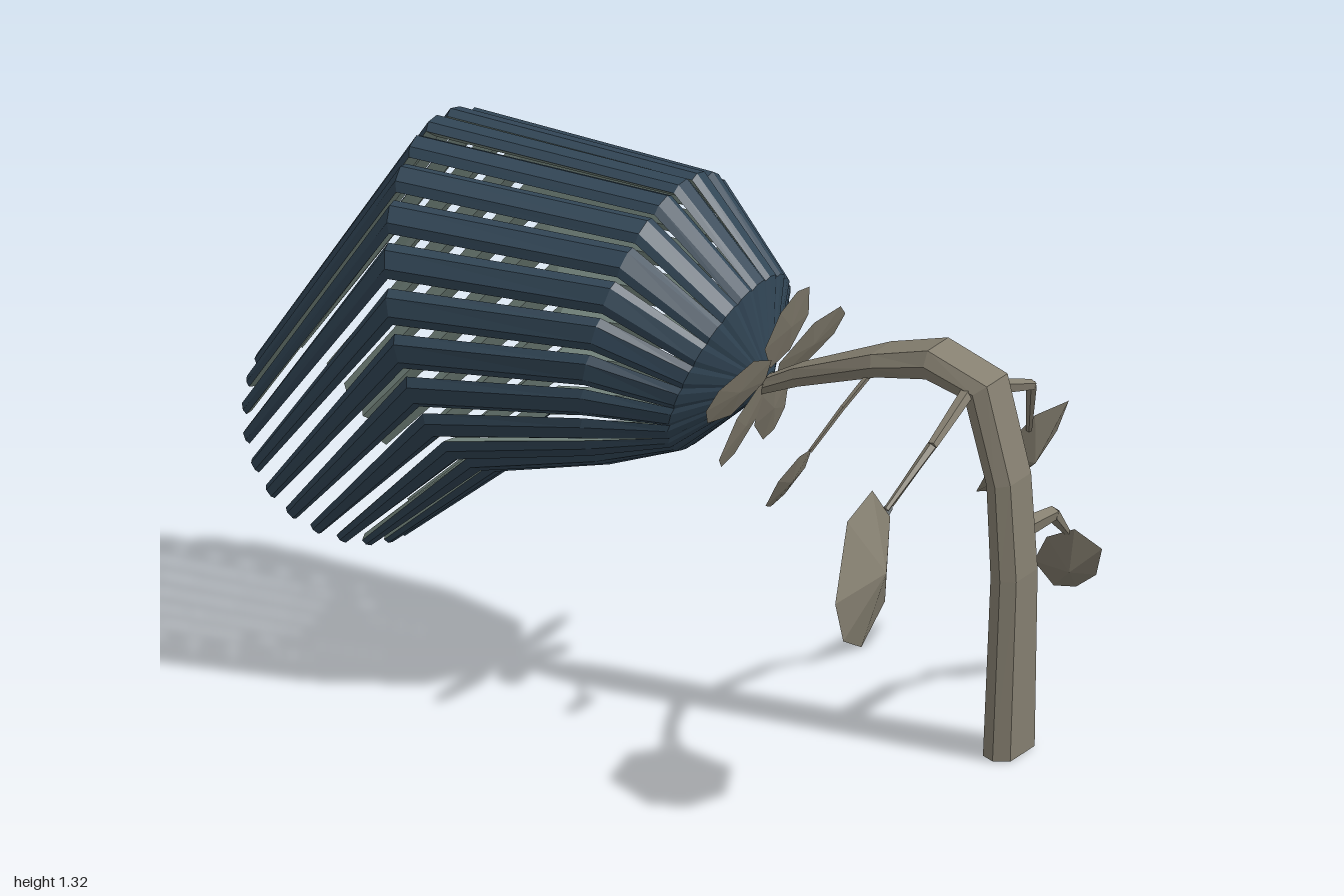
import * as THREE from 'three';

const V = (x, y, z) => new THREE.Vector3(x, y, z);
const MID = -0.03; // z of the stem and flower axis
const mat = color => new THREE.MeshStandardMaterial({ color, flatShading: true });

const bark = mat(0x857f70);
const petalOuter = mat(0x314555);
const petalInner = mat(0x75867e);
const leafRim = mat(0x9ba3a6);
const leafHeart = mat(0xc0c19a);

// Flat-shaded geometry from a list of triangle corners
function fromTriangles(points) {
  const g = new THREE.BufferGeometry().setFromPoints(points);
  g.computeVertexNormals();
  return g;
}

function named(name, geometry, material) {
  const m = new THREE.Mesh(geometry, material);
  m.name = name;
  return m;
}

// Curved stem: flattened hexagonal section swept along a path in the x-y plane
// rows: x, y, half thickness, half width
function makeStem() {
  const path = [
    [0.30, 0.80, 0.016, 0.035], [0.40, 0.845, 0.022, 0.04], [0.62, 0.92, 0.028, 0.068],
    [0.76, 0.947, 0.036, 0.068], [0.89, 0.90, 0.036, 0.068], [0.95, 0.68, 0.032, 0.068],
    [0.964, 0.45, 0.034, 0.07], [0.95, 0.006, 0.036, 0.08]
  ];
  const section = [[1, 0.75], [1, -0.75], [0, -1], [-1, -0.75], [-1, 0.75], [0, 1]];
  const rings = path.map(([x, y, h, w], i) => {
    const a = path[Math.max(i - 1, 0)], b = path[Math.min(i + 1, path.length - 1)];
    const t = V(b[0] - a[0], b[1] - a[1], 0).normalize();
    return section.map(([n, z]) => V(x - t.y * n * h, y + t.x * n * h, MID + z * w));
  });
  const tris = [];
  for (let i = 0; i < rings.length - 1; i++) {
    for (let k = 0; k < 6; k++) {
      const l = (k + 1) % 6, a = rings[i], b = rings[i + 1];
      tris.push(a[k], b[k], a[l], b[k], b[l], a[l]);
    }
  }
  // caps at the flower and at the foot
  const start = rings[0], end = rings[rings.length - 1];
  for (let k = 1; k < 5; k++) {
    tris.push(start[0], start[k], start[k + 1], end[0], end[k + 1], end[k]);
  }
  return named('stem', fromTriangles(tris), bark);
}

// Tapered twig through a few points
function makeTwig(name, points, r0, r1) {
  const group = new THREE.Group();
  group.name = name;
  const n = points.length - 1;
  for (let i = 0; i < n; i++) {
    const d = points[i + 1].clone().sub(points[i]);
    const ra = r0 + (r1 - r0) * i / n, rb = r0 + (r1 - r0) * (i + 1) / n;
    const seg = named('twigSegment', new THREE.CylinderGeometry(rb, ra, d.length(), 5), bark);
    seg.position.copy(points[i]).addScaledVector(d, 0.5);
    seg.quaternion.setFromUnitVectors(V(0, 1, 0), d.normalize());
    group.add(seg);
  }
  return group;
}

// Angular leaf: domed brown back, pale face with an inner heart
const OUTLINE = [[0, -0.22], [0.38, -1], [0.82, -0.8], [1, -0.2], [0.95, 0.45], [0.5, 1], [0.1, 0.6]];
function makeLeaf(name, base, tip, facing, halfWidth, bulge, plain = false) {
  const axis = tip.clone().sub(base);
  const side = facing.clone().cross(axis).normalize();
  const normal = axis.clone().cross(side).normalize();
  const rim = OUTLINE.map(([s, t]) =>
    base.clone().addScaledVector(axis, s).addScaledVector(side, t * halfWidth));
  const center = base.clone().addScaledVector(axis, 0.52);
  const sunk = center.clone().addScaledVector(normal, -bulge * 0.3);
  const dome = center.clone().addScaledVector(normal, -bulge);
  const lift = p => p.clone().lerp(sunk, 0.36).addScaledVector(normal, 0.004);
  const face = [], back = [], heart = [];
  rim.forEach((p, i) => {
    const q = rim[(i + 1) % rim.length];
    face.push(sunk, p, q);
    back.push(dome, q, p);
    heart.push(sunk.clone().addScaledVector(normal, 0.004), lift(p), lift(q));
  });
  const group = new THREE.Group();
  group.name = name;
  group.add(named('leafBack', fromTriangles(back), bark));
  group.add(named('leafFace', fromTriangles(face), plain ? bark : leafRim));
  if (!plain) group.add(named('leafHeart', fromTriangles(heart), leafHeart));
  return group;
}

// Drooping bell of narrow solid petals strung through five tilted rings
function makeFlower() {
  // center x, center y, up vector x, up vector y, z radius, petal share of its slot
  const rings = [
    [0.31, 0.805, 0.012, 0.03, 0.03, 1.0],
    [0.21, 0.84, 0.092, 0.22, 0.25, 1.02],
    [0.02, 0.917, 0.08, 0.36, 0.35, 0.88],
    [-0.455, 0.905, -0.105, 0.415, 0.413, 0.8],
    [-0.825, 0.47, -0.175, 0.215, 0.265, 0.52]
  ];
  // petal section: position across, radius factor (bevelled outside, keeled inside)
  const section = [[-1, 0.965], [-0.5, 1], [0.5, 1], [1, 0.965], [0, 0.89]];
  const count = 24, slot = Math.PI * 2 / count;
  const group = new THREE.Group();
  group.name = 'flower';
  for (let p = 0; p < count; p++) {
    const theta = p * slot + 0.06;
    const loops = rings.map(([cx, cy, ux, uy, rz, share], i) => {
      const reach = i === 4 ? Math.sin(theta) ** 2 : 0; // side tips hang lower
      return section.map(([across, f]) => {
        const a = theta + across * share * slot / 2;
        return V(cx + f * ux * Math.cos(a) - 0.05 * reach,
          cy + f * uy * Math.cos(a) - 0.045 * reach, MID + f * rz * Math.sin(a));
      });
    });
    const outside = [], inside = [];
    for (let i = 0; i < 4; i++) {
      for (let k = 0; k < 5; k++) {
        const l = (k + 1) % 5, a = loops[i], b = loops[i + 1];
        (k < 3 ? outside : inside).push(a[k], b[k], a[l], a[l], b[k], b[l]);
      }
    }
    const tip = loops[4];
    for (let k = 1; k < 4; k++) outside.push(tip[0], tip[k + 1], tip[k]);
    group.add(named('petalOutside', fromTriangles(outside), petalOuter));
    group.add(named('petalInside', fromTriangles(inside), petalInner));
  }
  return group;
}

// Five sepals behind the bell: angle in degrees, length and half width
function makeSepals() {
  const group = new THREE.Group();
  group.name = 'sepals';
  const up = V(0.33, 0.944, 0);
  const hub = V(0.325, 0.835, MID);
  const layout = [[90, 0.235, 0.1], [5, 0.33, 0.085], [175, 0.33, 0.085], [-60, 0.25, 0.07], [-120, 0.25, 0.07]];
  for (const [deg, length, halfWidth] of layout) {
    const a = deg * Math.PI / 180;
    const dir = up.clone().multiplyScalar(Math.sin(a)).add(V(0, 0, Math.cos(a)));
    const base = hub.clone().addScaledVector(dir, 0.02);
    const tip = hub.clone().addScaledVector(dir, length);
    // side sepals lean a little
    const facing = V(-0.944, 0.33 + 0.12 * Math.abs(Math.cos(a)), 0);
    group.add(makeLeaf('sepal', base, tip, facing, halfWidth, 0.008, true));
  }
  return group;
}

export function createModel() {
  const model = new THREE.Group();
  model.name = 'bellFlower';
  model.add(makeFlower(), makeSepals(), makeStem());

  // Twigs
  model.add(
    makeTwig('frontTwig', [V(0.61, 0.905, 0.0), V(0.56, 0.82, 0.06), V(0.505, 0.72, 0.12)], 0.008, 0.005),
    makeTwig('leftTwig', [V(0.87, 0.91, 0.0), V(0.865, 0.82, 0.19), V(0.82, 0.70, 0.33)], 0.018, 0.007),
    makeTwig('leftSideTwig', [V(0.865, 0.84, 0.15), V(0.83, 0.76, 0.2), V(0.79, 0.68, 0.25)], 0.009, 0.006),
    makeTwig('rightTwig', [V(0.89, 0.89, -0.06), V(0.875, 0.82, -0.28), V(0.81, 0.66, -0.39)], 0.02, 0.007),
    makeTwig('lowerTwig', [V(0.95, 0.54, -0.06), V(0.93, 0.51, -0.28), V(0.905, 0.42, -0.4)], 0.028, 0.008)
  );

  // Leaves
  model.add(
    makeLeaf('frontLeaf', V(0.51, 0.73, 0.13), V(0.425, 0.585, 0.175), V(-0.85, 0.5, 0), 0.075, 0.012),
    makeLeaf('leftLargeLeaf', V(0.81, 0.70, 0.31), V(0.87, 0.51, 0.65), V(-1, -0.15, 0.28), 0.165, 0.06),
    makeLeaf('leftSmallLeaf', V(0.79, 0.69, 0.24), V(0.72, 0.53, 0.36), V(-0.7, 0.4, 0.5), 0.075, 0.02),
    makeLeaf('rightLargeLeaf', V(0.81, 0.68, -0.37), V(0.66, 0.45, -0.62), V(-0.8, 0.55, -0.05), 0.15, 0.045),
    makeLeaf('lowerLeaf', V(0.91, 0.43, -0.39), V(0.835, 0.225, -0.54), V(-0.4, 0.6, -0.6), 0.08, 0.035)
  );
  return model;
}
